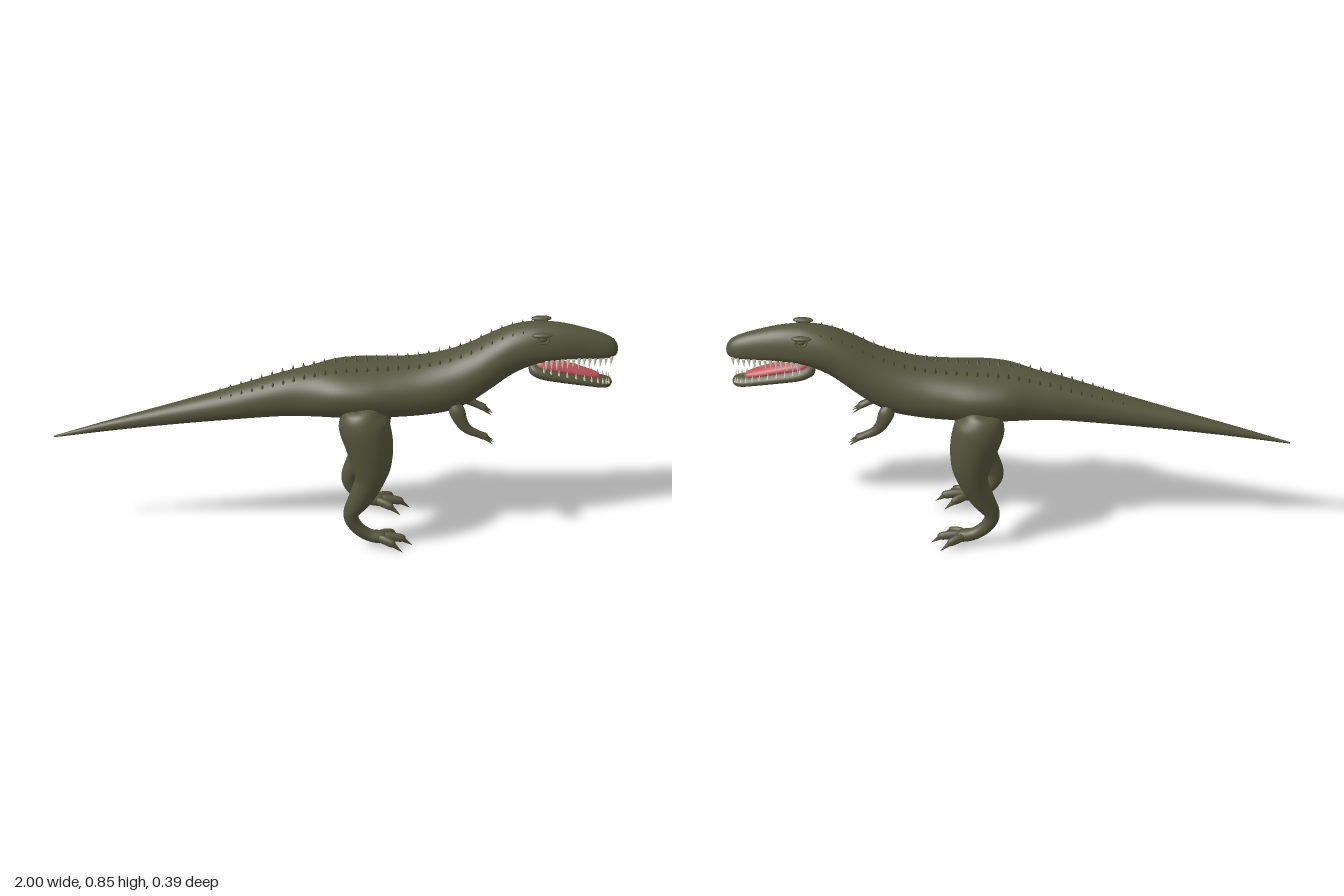
import * as THREE from 'three';

const V = (x, y, z) => new THREE.Vector3(x, y, z);

// Curves through section rows [x, y, z, up, down, halfWidth]
function curves(rows) {
  const make = k => new THREE.CatmullRomCurve3(rows.map(r => V(r[k], r[k + 1], r[k + 2])), false, 'catmullrom', 0.5);
  return { centre: make(0), size: make(3) };
}

// Smooth skin over oval sections; upright keeps every ring in a plane of constant x
function loft(rows, rings, sides, upright = false) {
  const { centre, size } = curves(rows), pos = [], idx = [];
  for (let i = 0; i <= rings; i++) {
    const t = i / rings, c = centre.getPoint(t), s = size.getPoint(t);
    const d = upright ? V(1, 0, 0) : centre.getTangent(t).setZ(0).normalize();
    for (let j = 0; j < sides; j++) {
      const a = j / sides * Math.PI * 2, co = Math.cos(a);
      const h = co * Math.max(0.0004, co > 0 ? s.x : s.y);
      pos.push(c.x - d.y * h, c.y + d.x * h, c.z + Math.sin(a) * Math.max(0.0004, s.z));
      if (i < rings) {
        const k = (j + 1) % sides, p = i * sides;
        idx.push(p + j, p + k, p + sides + j, p + k, p + sides + k, p + sides + j);
      }
    }
  }
  const g = new THREE.BufferGeometry();
  g.setAttribute('position', new THREE.Float32BufferAttribute(pos, 3));
  g.setIndex(idx);
  g.computeVertexNormals();
  return g;
}

// Row from top, bottom, half width and the share of height where it is widest
const slab = (x, top, bot, w, f = 0.5) => {
  const mid = bot + (top - bot) * f;
  return [x, mid, 0, top - mid, mid - bot, w];
};

export function createModel() {
  const model = new THREE.Group();
  const mat = (name, color) => Object.assign(new THREE.MeshStandardMaterial({ color }), { name });
  const skin = mat('olive skin', 0x55543c);
  const ivory = mat('ivory teeth', 0xe2dcc8);
  const red = mat('red mouth', 0xbd545a);

  const add = (name, geo, material, parent = model) => {
    const m = new THREE.Mesh(geo, material);
    m.name = name;
    parent.add(m);
    return m;
  };
  const group = name => {
    const g = new THREE.Group();
    g.name = name;
    model.add(g);
    return g;
  };
  // Cone from a base point to a tip
  const spike = (name, from, to, r, material, parent) => {
    const d = to.clone().sub(from), m = add(name, new THREE.ConeGeometry(r, d.length(), 8), material, parent);
    m.position.copy(from).addScaledVector(d, 0.5);
    m.quaternion.setFromUnitVectors(V(0, 1, 0), d.normalize());
    return m;
  };
  const ball = (name, p, s, parent) => {
    const m = add(name, new THREE.SphereGeometry(1, 20, 14), skin, parent);
    m.position.copy(p);
    m.scale.copy(s);
    return m;
  };

  // Tail, trunk, neck and upper head in one skin
  const bodyRows = [
    slab(-1, 0.407, 0.401, 0.003), slab(-0.8, 0.468, 0.428, 0.018), slab(-0.6, 0.525, 0.452, 0.036),
    slab(-0.4, 0.583, 0.472, 0.056), slab(-0.2, 0.645, 0.487, 0.074), slab(-0.1, 0.667, 0.49, 0.092),
    slab(0, 0.68, 0.49, 0.125, 0.6), slab(0.1, 0.685, 0.487, 0.136, 0.6), slab(0.2, 0.69, 0.49, 0.128, 0.55),
    slab(0.3, 0.7, 0.495, 0.12), slab(0.4, 0.724, 0.508, 0.112), slab(0.48, 0.757, 0.545, 0.104),
    slab(0.55, 0.797, 0.595, 0.094), slab(0.62, 0.83, 0.648, 0.083), slab(0.69, 0.846, 0.685, 0.076, 0.45),
    slab(0.75, 0.848, 0.702, 0.069, 0.35), slab(0.82, 0.838, 0.706, 0.06, 0.35), slab(0.9, 0.815, 0.705, 0.049, 0.35),
    slab(0.95, 0.796, 0.704, 0.041, 0.35), slab(0.98, 0.778, 0.708, 0.031, 0.4),
    slab(0.995, 0.758, 0.718, 0.018), slab(1, 0.738, 0.736, 0.001),
  ];
  add('body', loft(bodyRows, 126, 40, true), skin);
  const body = curves(bodyRows);
  const bodyAt = x => {
    let lo = 0, hi = 1;
    for (let i = 0; i < 24; i++) {
      const m = (lo + hi) / 2;
      if (body.centre.getPoint(m).x < x) lo = m; else hi = m;
    }
    return { c: body.centre.getPoint(lo), s: body.size.getPoint(lo) };
  };

  // Lower jaw and tongue
  const jawRows = [
    slab(0.682, 0.668, 0.66, 0.004), slab(0.69, 0.69, 0.642, 0.036), slab(0.73, 0.682, 0.625, 0.052),
    slab(0.8, 0.66, 0.61, 0.049), slab(0.88, 0.637, 0.594, 0.041), slab(0.94, 0.62, 0.582, 0.033),
    slab(0.968, 0.613, 0.583, 0.022), slab(0.978, 0.6, 0.597, 0.001),
  ];
  add('lowerJaw', loft(jawRows, 42, 28, true), skin);
  add('tongue', loft([
    slab(0.7, 0.69, 0.67, 0.01), slab(0.73, 0.698, 0.66, 0.032), slab(0.8, 0.682, 0.645, 0.032),
    slab(0.88, 0.655, 0.625, 0.026), slab(0.925, 0.637, 0.615, 0.016), slab(0.937, 0.625, 0.622, 0.001),
  ], 30, 20, true), red);

  // Teeth along both jaws
  const teeth = group('teeth');
  const jaw = curves(jawRows);
  for (const s of [1, -1]) {
    for (let i = 0; i < 13; i++) {
      const x = 0.745 + i * 0.0192, b = bodyAt(x), z = s * b.s.z * 0.78, y = b.c.y - b.s.y * 0.55;
      spike('upperTooth', V(x, y, z), V(x - 0.003, 0.679 + (i % 2) * 0.006, z), 0.0075, ivory, teeth);
    }
    for (let i = 0; i < 11; i++) {
      const t = 0.3 + i * 0.054, c = jaw.centre.getPoint(t), w = jaw.size.getPoint(t);
      const z = s * w.z * 0.78;
      spike('lowerTooth', V(c.x, c.y + w.x * 0.4, z), V(c.x, c.y + w.x + 0.014, z), 0.005, ivory, teeth);
    }
  }

  // Two rows of raised scales down the back
  const scales = group('backScales');
  for (let i = 0; i < 30; i++) {
    const x = -0.41 + i * 0.037, { c, s } = bodyAt(x);
    const k = 0.4 + 0.6 * Math.sin(Math.PI * (i + 1) / 31);
    const z = Math.min(0.036, s.z * 0.5), y = c.y + s.x * Math.sqrt(1 - (z / s.z) ** 2);
    for (const side of [1, -1]) {
      const m = add('scale', new THREE.ConeGeometry(1, 1, 10), skin, scales);
      m.scale.set(0.009 * k, 0.03 * k, 0.015 * k);
      m.position.set(x, y + 0.005 * k, z * side);
      m.rotation.x = side * 0.25;
    }
  }

  for (const s of [1, -1]) {
    const side = s > 0 ? 'left' : 'right';
    const mirror = rows => rows.map(([x, y, z, a, b]) => [x, y, z * s, a, a, b]);

    // Eye with brow and lower lid
    const eye = group(side + 'Eye');
    ball('eyeball', V(0.732, 0.815, s * 0.053), V(0.016, 0.012, 0.011), eye);
    ball('brow', V(0.73, 0.832, s * 0.057), V(0.036, 0.009, 0.013), eye);
    const lid = add('eyelid', new THREE.TorusGeometry(0.02, 0.004, 8, 24), skin, eye);
    lid.position.set(0.732, 0.814, s * 0.057);
    lid.scale.y = 0.75;
    lid.rotation.x = -s * 0.5;

    // Leg from haunch to ball of the foot
    const leg = group(side + 'Leg');
    add('leg', loft(mirror([
      [0.088, 0.578, 0.118, 0.003, 0.003], [0.09, 0.565, 0.116, 0.052, 0.045], [0.093, 0.515, 0.11, 0.088, 0.077],
      [0.113, 0.43, 0.109, 0.086, 0.086], [0.122, 0.35, 0.124, 0.072, 0.067], [0.114, 0.28, 0.128, 0.052, 0.054],
      [0.085, 0.21, 0.127, 0.043, 0.04], [0.05, 0.14, 0.124, 0.028, 0.028], [0.066, 0.088, 0.123, 0.024, 0.023],
      [0.11, 0.05, 0.123, 0.022, 0.023], [0.16, 0.038, 0.123, 0.021, 0.025], [0.185, 0.033, 0.123, 0.002, 0.002],
    ]), 66, 28), skin, leg);

    // Three splayed toes with claws
    for (const k of [-1, 0, 1]) {
      const end = k ? 0.195 : 0.23, z = 0.123 + k * 0.036;
      add('toe', loft(mirror([
        [0.135, 0.04, 0.123 + k * 0.006, 0.013, 0.012], [(0.135 + end) / 2, 0.04, 0.123 + k * 0.023, 0.016, 0.013],
        [end, 0.032, z, 0.014, 0.012], [end + 0.012, 0.026, z + k * 0.003, 0.001, 0.001],
      ]), 18, 14), skin, leg);
      spike('toeClaw', V(end - 0.004, 0.034, z * s), V(end + 0.036, 0.002, (z + k * 0.013) * s), 0.012, skin, leg);
    }

    // Small arm with three claws
    const arm = group(side + 'Arm');
    add('arm', loft(mirror([
      [0.415, 0.575, 0.082, 0.012, 0.012], [0.425, 0.545, 0.09, 0.028, 0.022], [0.44, 0.505, 0.098, 0.023, 0.019],
      [0.463, 0.472, 0.1, 0.017, 0.017], [0.5, 0.45, 0.099, 0.013, 0.014], [0.528, 0.436, 0.096, 0.011, 0.015],
      [0.538, 0.431, 0.096, 0.001, 0.001],
    ]), 36, 18), skin, arm);
    for (const k of [-1, 0, 1])
      spike('fingerClaw', V(0.522, 0.438, s * (0.096 + k * 0.009)), V(0.56 - Math.abs(k) * 0.004, 0.41, s * (0.096 + k * 0.016)), 0.007, skin, arm);
  }
  return model;
}
